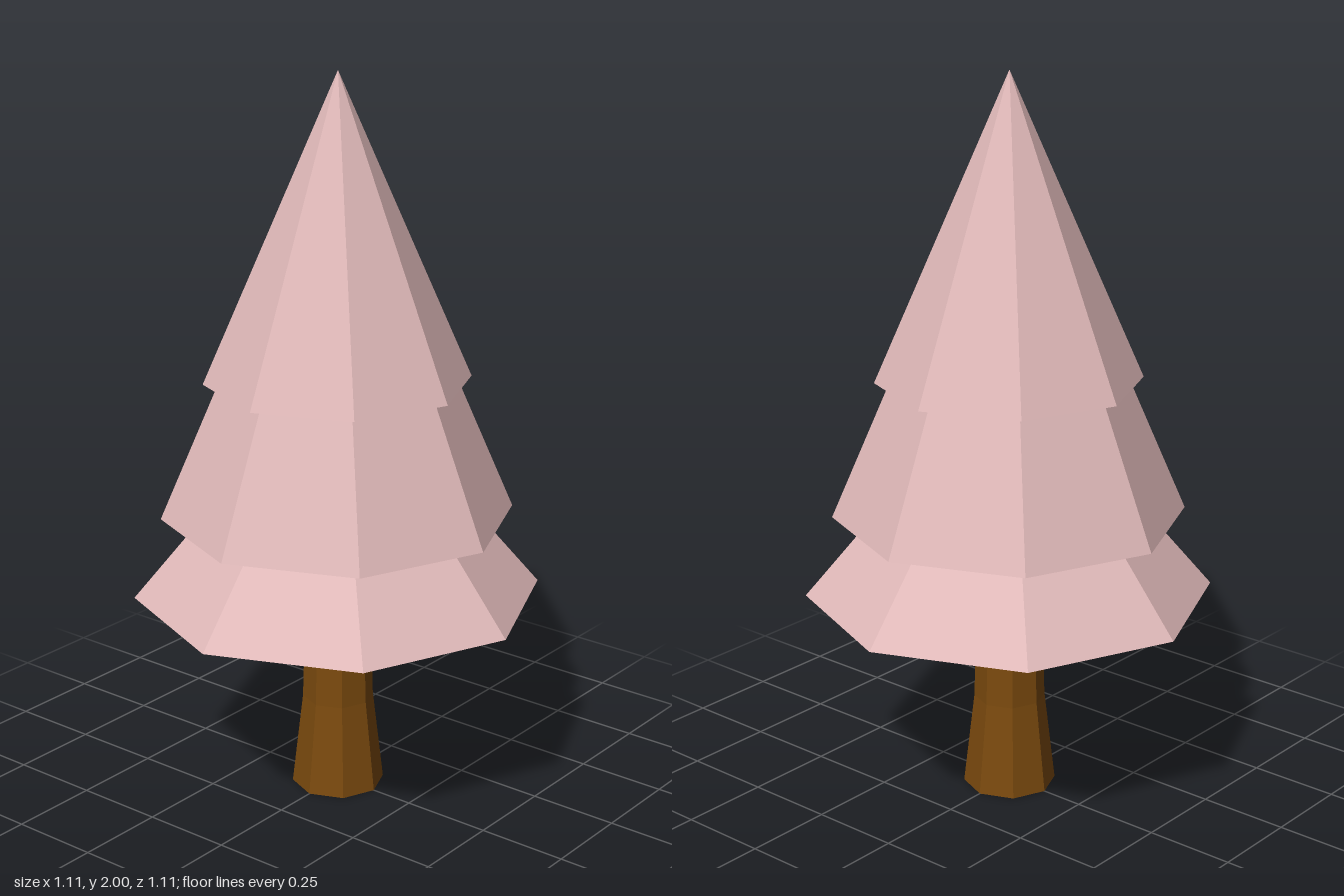
import * as THREE from 'three';

const SIDES = 8;

export function createModel() {
  const foliage = new THREE.MeshStandardMaterial({ color: 0xe0b9b9 });
  foliage.name = 'pink foliage';
  foliage.flatShading = true;
  foliage.side = THREE.DoubleSide;
  const bark = new THREE.MeshStandardMaterial({ color: 0x7b4a0e });
  bark.name = 'brown bark';
  bark.flatShading = true;

  const tree = new THREE.Group();
  tree.name = 'tree';

  // Every part is an eight-sided ring from y0 to y1 with corners on the axes
  const add = (name, material, r0, y0, r1, y1, open) => {
    const geometry = new THREE.CylinderGeometry(r1, r0, y1 - y0, SIDES, 1, open);
    geometry.translate(0, (y0 + y1) / 2, 0);
    const mesh = new THREE.Mesh(geometry, material);
    mesh.name = name;
    tree.add(mesh);
  };

  // Trunk: flared foot and a nearly straight shaft ending inside the foliage
  add('trunkFoot', bark, 0.128, 0, 0.098, 0.26, false);
  add('trunkShaft', bark, 0.098, 0.26, 0.084, 0.73, false);

  // Foliage: three hollow cones open underneath
  add('lowerFoliage', foliage, 0.557, 0.575, 0, 1.235, true);
  add('middleFoliage', foliage, 0.48, 0.8, 0, 1.92, true);
  add('upperFoliage', foliage, 0.36, 1.175, 0, 2, true);

  return tree;
}
